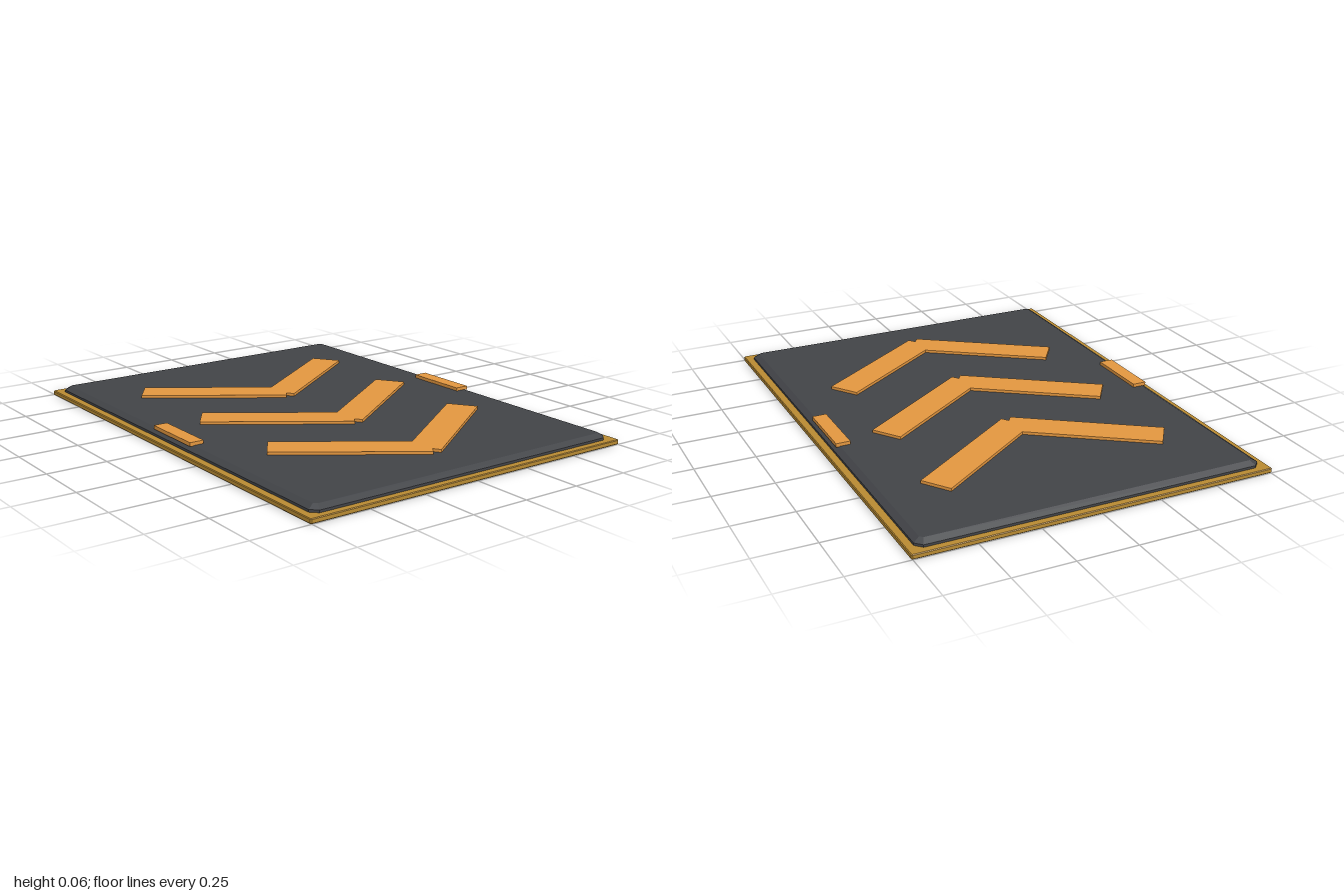
import * as THREE from 'three';

const mat = (color) => new THREE.MeshStandardMaterial({ color, flatShading: true });

// Flat slab with bevelled edges and cut corners, lying between y0 and y1
function slab(name, halfX, halfZ, cut, bevelX, bevelY, y0, y1, material) {
  const x = halfX - bevelX, z = halfZ - bevelX;
  const pts = [
    [x - cut, -z], [x, -z + cut], [x, z - cut], [x - cut, z],
    [-x + cut, z], [-x, z - cut], [-x, -z + cut], [-x + cut, -z],
  ].map(([a, b]) => new THREE.Vector2(a, b));
  const geo = new THREE.ExtrudeGeometry(new THREE.Shape(pts), {
    depth: y1 - y0 - 2 * bevelY, bevelEnabled: true, bevelSegments: 1,
    bevelSize: bevelX, bevelThickness: bevelY,
  });
  geo.rotateX(-Math.PI / 2);
  geo.translate(0, y0 + bevelY, 0);
  const mesh = new THREE.Mesh(geo, material);
  mesh.name = name;
  return mesh;
}

function box(name, w, h, d, x, y, z, material) {
  const mesh = new THREE.Mesh(new THREE.BoxGeometry(w, h, d), material);
  mesh.name = name;
  mesh.position.set(x, y, z);
  return mesh;
}

export function createModel() {
  const model = new THREE.Group();
  model.name = 'chevronPad';
  const gold = mat(0xb88a32), dark = mat(0x414347), orange = mat(0xe2963f);

  // Gold rim plate and raised dark panel
  model.add(slab('basePlate', 0.755, 1, 0.003, 0.003, 0.003, 0, 0.02, gold));
  model.add(slab('panel', 0.723, 0.97, 0.012, 0.025, 0.015, 0.002, 0.045, dark));

  // Three chevrons, each of two mirrored arms meeting at the front
  const angle = THREE.MathUtils.degToRad(35);
  [-0.445, 0.045, 0.535].forEach((z, i) => {
    const chevron = new THREE.Group();
    chevron.name = `chevron${i + 1}`;
    for (const side of [1, -1]) {
      const arm = box(side > 0 ? 'leftArm' : 'rightArm', 0.63, 0.014, 0.133,
        side * 0.24, 0.05, z, orange);
      arm.rotation.y = side * angle;
      chevron.add(arm);
    }
    model.add(chevron);
  });

  // Marker bars along the two long edges
  for (const side of [1, -1]) {
    model.add(box(side > 0 ? 'leftMarker' : 'rightMarker', 0.06, 0.016, 0.286,
      side * 0.684, 0.051, 0, orange));
  }
  return model;
}
